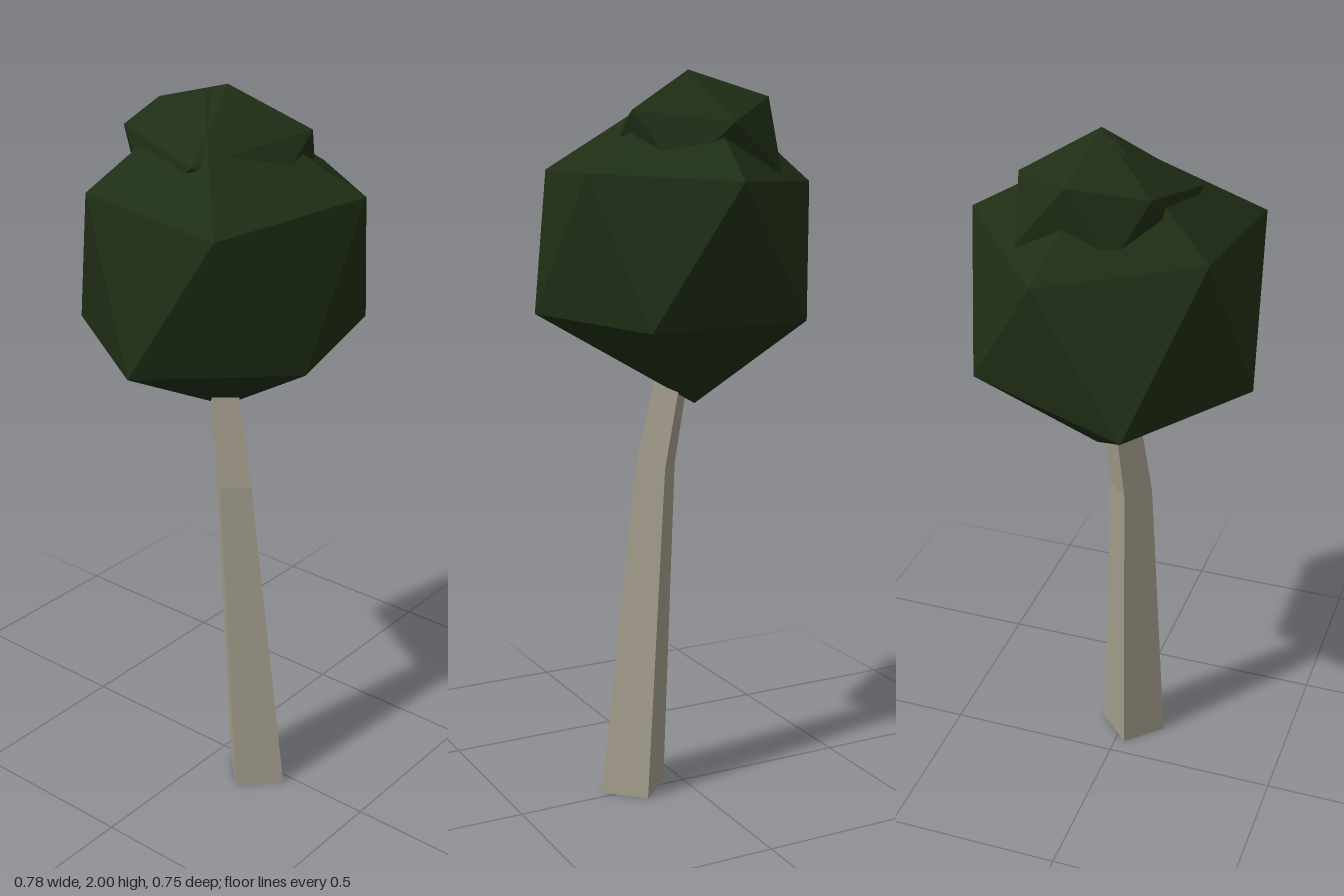
import * as THREE from 'three';

// Flat-shaded mesh from a list of corner points, three per triangle
function facetMesh(name, corners, color) {
  const geometry = new THREE.BufferGeometry();
  geometry.setAttribute('position', new THREE.Float32BufferAttribute(corners.flat(), 3));
  geometry.computeVertexNormals();
  const mesh = new THREE.Mesh(geometry, new THREE.MeshStandardMaterial({ color, flatShading: true }));
  mesh.name = name;
  return mesh;
}

// Irregular icosahedron: two poles and two staggered rings of five,
// both running counter-clockwise as seen from above
function foliage(name, top, upper, lower, bottom, color) {
  const corners = [];
  for (let i = 0; i < 5; i++) {
    const j = (i + 1) % 5;
    corners.push(top, upper[i], upper[j]);
    corners.push(upper[i], lower[i], upper[j]);
    corners.push(lower[i], lower[j], upper[j]);
    corners.push(bottom, lower[j], lower[i]);
  }
  return facetMesh(name, corners, color);
}

// Four-sided bent trunk, lofted through diamond sections [x, y, z, half diagonal]
function trunk(sections, color) {
  const rings = sections.map(([x, y, z, r]) =>
    [[x + r, y, z], [x, y, z - r], [x - r, y, z], [x, y, z + r]]);
  const corners = [];
  for (let k = 0; k < rings.length - 1; k++) {
    for (let i = 0; i < 4; i++) {
      const j = (i + 1) % 4;
      const [a, b, c, d] = [rings[k][i], rings[k][j], rings[k + 1][j], rings[k + 1][i]];
      corners.push(a, b, c, a, c, d);
    }
  }
  // End caps
  const [p, q, r, s] = rings[0];
  corners.push(p, r, q, p, s, r);
  const [t, u, v, w] = rings[rings.length - 1];
  corners.push(t, u, v, t, v, w);
  return facetMesh('trunk', corners, color);
}

export function createModel() {
  const tree = new THREE.Group();
  tree.name = 'tree';
  const green = 0x1f2e15;

  tree.add(trunk([
    [-0.028, 0, 0.147, 0.098],
    [-0.04, 0.93, 0.066, 0.061],
    [-0.022, 1.25, 0.008, 0.049],
  ], 0xa39d8c));

  // Main crown
  tree.add(foliage('crown',
    [-0.025, 1.99, -0.045],
    [[0.39, 1.73, 0.03], [0.09, 1.705, -0.34], [-0.315, 1.76, -0.19], [-0.345, 1.73, 0.25], [0.14, 1.745, 0.345]],
    [[0.305, 1.36, -0.205], [-0.155, 1.34, -0.378], [-0.39, 1.33, 0.005], [-0.14, 1.36, 0.375], [0.305, 1.355, 0.245]],
    [0.03, 1.11, -0.02], green));

  // Small flattened tuft sunk into the top of the crown
  tree.add(foliage('topTuft',
    [0.02, 2.0, -0.005],
    [[0.232, 1.87, -0.03], [0.03, 1.93, -0.245], [-0.168, 1.905, -0.19], [-0.22, 1.85, 0.075], [0.105, 1.9, 0.2]],
    [[0.185, 1.74, -0.195], [-0.08, 1.74, -0.23], [-0.21, 1.72, -0.06], [-0.07, 1.74, 0.2], [0.222, 1.74, 0.126]],
    [0, 1.64, 0], green));

  return tree;
}
